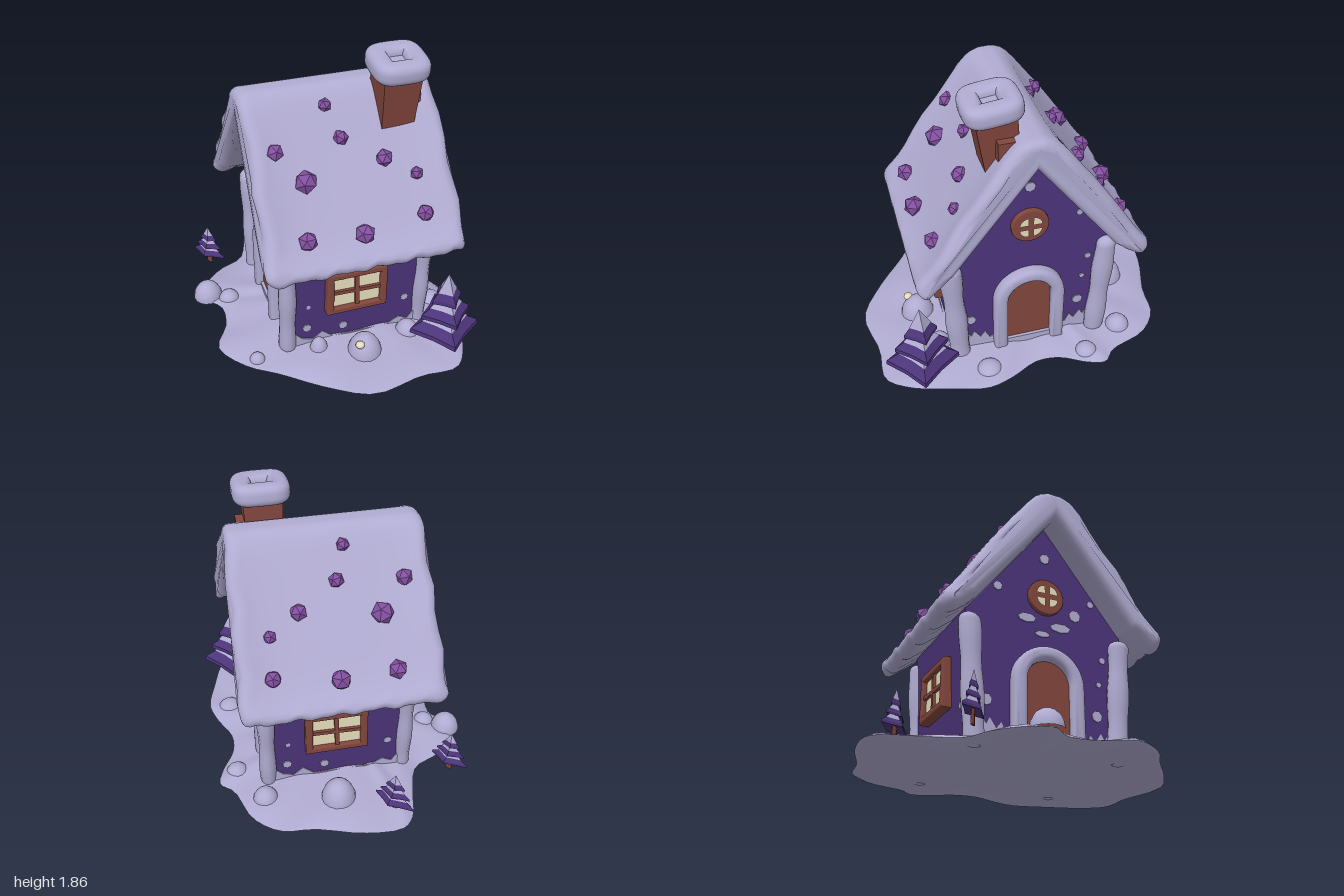
import * as THREE from 'three';
import { mergeVertices, toCreasedNormals } from 'three/addons/utils/BufferGeometryUtils.js';

const mat = (name, color) => Object.assign(new THREE.MeshStandardMaterial({ color }), { name });
const snow = mat('snow', 0xb0abd1);
const wall = mat('purpleWall', 0x4c347a);
const wood = mat('wood', 0x82463d);
const glass = mat('windowGlow', 0xf8efca);
const gem = mat('gem', 0x8450a2);

const CX = 0.07;          // house centre along x
const WALL_X = 0.42;      // half length of the walls
const WALL_Z = 0.47;      // half depth of the walls

function add(parent, name, geo, material, x = 0, y = 0, z = 0) {
  const m = new THREE.Mesh(geo, material);
  m.name = name;
  m.position.set(x, y, z);
  parent.add(m);
  return m;
}

// Move every vertex by a rule
function bend(geo, rule) {
  const p = geo.attributes.position, v = new THREE.Vector3();
  for (let i = 0; i < p.count; i++) {
    rule(v.fromBufferAttribute(p, i));
    p.setXYZ(i, v.x, v.y, v.z);
  }
  return geo;
}

// Bend, then weld and smooth
function soften(geo, rule) {
  bend(geo, rule);
  geo.deleteAttribute('normal');
  geo.deleteAttribute('uv');
  const g = mergeVertices(geo, 1e-4);
  g.computeVertexNormals();
  return g;
}

const polygon = pts => new THREE.Shape(pts.map(([x, y]) => new THREE.Vector2(x, y)));
const rect = (w, h) => polygon([[-w, -h], [w, -h], [w, h], [-w, h]]);

function roundedSquare(r) {
  const soft = t => Math.sign(t) * Math.abs(t) ** 0.6 * r;
  return polygon(Array.from({ length: 40 }, (_, i) => {
    const a = i / 40 * Math.PI * 2;
    return [soft(Math.cos(a)), soft(Math.sin(a))];
  }));
}

function arch(r, bottom, spring, rise) {
  const s = new THREE.Shape();
  s.moveTo(-r, bottom);
  s.lineTo(r, bottom);
  s.lineTo(r, spring);
  s.absellipse(0, spring, r, rise, 0, Math.PI, false);
  s.closePath();
  return s;
}

function archBand(r, inner, bottom, spring) {
  const s = new THREE.Shape();
  s.moveTo(inner, bottom);
  s.lineTo(r, bottom);
  s.lineTo(r, spring);
  s.absarc(0, spring, r, 0, Math.PI, false);
  s.lineTo(-r, bottom);
  s.lineTo(-inner, bottom);
  s.lineTo(-inner, spring);
  s.absarc(0, spring, inner, Math.PI, 0, true);
  s.closePath();
  return s;
}

const extrude = (shape, depth, bevel = 0, extra = {}) => new THREE.ExtrudeGeometry(shape, {
  depth, bevelEnabled: bevel > 0, bevelSize: bevel, bevelThickness: bevel,
  bevelOffset: -bevel, bevelSegments: 3, curveSegments: 14, ...extra });

function spots(parent, list) {
  list.forEach(([x, y, rx, ry = rx]) => {
    const m = add(parent, 'snowSpot', new THREE.CylinderGeometry(1, 1, 0.008, 7), snow, x, y, 0.003);
    m.rotation.x = Math.PI / 2;
    m.scale.set(rx, 1, ry);
  });
}

// Gable details, built facing +z
function gableDetails(patches) {
  const g = new THREE.Group();
  g.name = 'gableDetails';
  add(g, 'doorSnowArch', toCreasedNormals(extrude(archBand(0.225, 0.14, 0.03, 0.42), 0.04, 0.03), 0.9), snow);
  add(g, 'door', extrude(arch(0.155, 0.08, 0.42, 0.15), 0.03), wood, 0, 0, -0.01);
  add(g, 'doorStep', new THREE.BoxGeometry(0.3, 0.06, 0.08), snow, 0, 0.055, 0);
  const ring = new THREE.Shape().absarc(0, 0, 0.115, 0, Math.PI * 2);
  add(g, 'roundWindowFrame', extrude(ring, 0.02, 0.008), wood, 0, 0.98, 0);
  for (let i = 0; i < 4; i++) {
    const a = i * Math.PI / 2, c = a + Math.PI / 4;
    add(g, 'roundWindowPane', new THREE.CircleGeometry(0.055, 8, a, Math.PI / 2), glass,
      Math.cos(c) * 0.02, 0.98 + Math.sin(c) * 0.02, 0.0385);
  }
  spots(g, [[0, 1.25, 0.034], [-0.31, 1, 0.03], [0.31, 1, 0.022], [0.38, 0.64, 0.022],
    [0.33, 0.28, 0.035], [-0.37, 0.28, 0.035], [0.35, 0.48, 0.018], ...patches]);
  for (const s of [-1, 1]) {
    const bank = polygon([[0.2, 0.02], [0.44, 0.02], [0.44, 0.22], [0.37, 0.14], [0.35, 0.18],
      [0.31, 0.12], [0.28, 0.16], [0.25, 0.1], [0.2, 0.12]].map(([x, y]) => [x * s, y]));
    add(g, 'snowDrift', extrude(bank, 0.006), snow);
  }
  return g;
}

// Long side details, built facing +z
function sideDetails() {
  const g = new THREE.Group();
  g.name = 'sideDetails';
  const frame = rect(0.195, 0.155);
  frame.holes.push(rect(0.15, 0.11));
  add(g, 'windowFrame', extrude(frame, 0.055, 0.012), wood, -0.01, 0.445, 0);
  add(g, 'windowPanes', new THREE.BoxGeometry(0.33, 0.25, 0.008), glass, -0.01, 0.445, 0.035);
  const bar = add(g, 'windowBar', new THREE.BoxGeometry(0.026, 0.26, 0.025), wood, -0.01, 0.445, 0.045);
  bar.rotation.z = 0.03;
  const cross = add(g, 'windowCrossbar', new THREE.BoxGeometry(0.33, 0.024, 0.025), wood, -0.01, 0.445, 0.045);
  cross.rotation.z = -0.03;
  spots(g, [[0.32, 0.65, 0.03, 0.022], [0.31, 0.51, 0.022], [-0.31, 0.34, 0.015], [-0.32, 0.17, 0.03],
    [0.33, 0.26, 0.024], [-0.28, 0.62, 0.018], [-0.08, 0.13, 0.03]]);
  const bank = polygon([[-0.42, 0.02], [0.42, 0.02], [0.42, 0.15], [0.36, 0.07], [0.3, 0.1], [0.22, 0.06],
    [-0.15, 0.06], [-0.22, 0.12], [-0.28, 0.07], [-0.35, 0.09], [-0.42, 0.16]]);
  add(g, 'snowDrift', extrude(bank, 0.006), snow);
  return g;
}

// Fir with four-pointed tiers and snow on each tier
function tree(name, x, z, r, h, base, flat) {
  const g = new THREE.Group();
  g.name = name;
  const star = pts => toCreasedNormals(bend(
    new THREE.LatheGeometry(pts.map(p => new THREE.Vector2(...p)), 8), v => {
      if (Math.abs(v.x * v.z) > 1e-6) { v.x *= 0.66; v.z *= 0.66; }
    }), 0.3);
  add(g, 'trunk', new THREE.CylinderGeometry(r * 0.13, r * 0.17, base + 0.1, 6), wood, 0, base / 2 + 0.06, 0);
  [[1, 0, 0.5], [0.74, 0.28, 0.44], [0.46, 0.55, 0.45]].forEach(([s, y0, th], i) => {
    const R = r * s, H = (h - base) * th, Y = base + (h - base) * y0;
    const tier = new THREE.Group();
    tier.name = 'tier';
    tier.position.y = Y;
    add(tier, 'branches', star([[0, H * 0.15], [R, 0], [R * 0.98, H * 0.14], [R * 0.5, H * 0.46], [0, H]]), wall);
    add(tier, 'branchSnow', star([[R * 0.5, H * 0.44], [R * 0.66, H * 0.38], [R * 0.52, H * 0.51], [0, H * 1.05]]), snow);
    tier.rotation.y = (i - 1) * 0.12;
    g.add(tier);
  });
  g.position.set(x, 0, z);
  if (flat) {
    g.scale.z = flat;
    g.rotation.y = -Math.PI / 4;
  }
  return g;
}

// Snowy ground slab lofted from a closed outline
function ground() {
  const edge = [[-.24, -1], [0, -.99], [.29, -.9], [.5, -.87], [.65, -.74], [.74, -.5], [.82, -.42], [.79, -.3],
    [.71, -.15], [.7, 0], [.78, .18], [.82, .34], [.77, .55], [.69, .8], [.58, .94], [.34, .94], [.02, .99],
    [-.24, .85], [-.48, .66], [-.66, .53], [-.79, .32], [-.7, .13], [-.69, -.05], [-.8, -.18], [-.76, -.3],
    [-.61, -.45], [-.45, -.53], [-.37, -.74], [-.32, -.92]];
  const loop = new THREE.CatmullRomCurve3(edge.map(([x, z]) => new THREE.Vector3(x, 0, z)), true).getPoints(90).slice(0, 90);
  const rings = [[0, 0], [0.97, 0], [1, 0.012], [0.97, 0.025], [0.8, 0.035], [0.6, 0.055], [0, 0.06]];
  const pos = [], idx = [], n = loop.length;
  rings.forEach(([s, y], k) => loop.forEach((p, i) =>
    pos.push(p.x * s, y + (k > 2 && k < 6 ? 0.007 * Math.sin(i * 0.9 + k) : 0), p.z * s)));
  for (let k = 0; k < rings.length - 1; k++) for (let i = 0; i < n; i++) {
    const j = (i + 1) % n, a = k * n + i, b = k * n + j;
    idx.push(a, a + n, b, b, a + n, b + n);
  }
  const g = new THREE.BufferGeometry();
  g.setAttribute('position', new THREE.Float32BufferAttribute(pos, 3));
  g.setIndex(idx);
  return toCreasedNormals(g, 0.9);
}

export function createModel() {
  const root = new THREE.Group();
  root.name = 'snowyCottage';
  add(root, 'ground', ground(), snow);

  // Walls and gables
  const body = polygon([[-WALL_Z, 0.02], [WALL_Z, 0.02], [WALL_Z + 0.04, 0.82], [0, 1.5], [-WALL_Z - 0.04, 0.82]]);
  const walls = add(root, 'walls', extrude(body, WALL_X * 2), wall, CX - WALL_X, 0, 0);
  walls.rotation.y = Math.PI / 2;

  for (const s of [-1, 1]) {
    const gable = gableDetails(s < 0 ? [[0.1, 0.8, 0.07, 0.03], [-0.12, 0.83, 0.06, 0.03], [0.2, 0.9, 0.04], [-0.02, 0.74, 0.05, 0.02]] : []);
    gable.position.x = CX + s * WALL_X;
    gable.rotation.y = s * Math.PI / 2;
    const side = sideDetails();
    side.position.set(CX, 0, s * (WALL_Z + 0.01));
    if (s < 0) side.rotation.y = Math.PI;
    root.add(gable, side);
    // Snow-covered corner posts leaning outwards, rounded off under the eaves
    for (const t of [-1, 1]) {
      const post = soften(new THREE.CapsuleGeometry(0.055, 0.68, 6, 12, 14), v => {
        const k = 1 + 0.07 * Math.sin(v.y * 17 + s + t * 2);
        v.x *= k * 0.95;
        v.z = v.z * k * 1.2 + t * 0.06 * v.y;
      });
      add(root, 'cornerSnow', post, snow, CX + s * 0.44, 0.385, t * 0.467);
    }
  }

  // Thick snow roof with rolled edges and slightly sunken slopes
  const profile = new THREE.Shape();
  profile.moveTo(-0.49, 0.83);
  profile.splineThru([[-.58, .76], [-.65, .71], [-.7, .735], [-.705, .8], [-.62, .91], [-.43, 1.2], [-.17, 1.55], [-.07, 1.63],
    [0, 1.64], [.07, 1.63], [.17, 1.55], [.43, 1.2], [.62, .91], [.705, .8], [.7, .735], [.65, .71], [.58, .76],
    [.49, .83]].map(p => new THREE.Vector2(...p)));
  profile.lineTo(0, 1.46);
  profile.closePath();
  const roofGeo = extrude(profile, 1.08, 0.06, { bevelSize: 0.05, bevelOffset: -0.05, steps: 36, curveSegments: 3, bevelSegments: 4 });
  roofGeo.translate(0, 0, -0.54).rotateY(Math.PI / 2);
  add(root, 'roofSnow', soften(roofGeo, v => {
    const { x, y, z } = v;
    v.x *= 1 + (1.2 - y) * 0.06;
    v.x += 0.025 * z;
    if (Math.abs(x) > 0.5) v.x += 0.012 * Math.sin(y * 19 + z * 3);
    if (y < 0.8) v.y += 0.008 * Math.sin(x * 27) + 0.006 * Math.sin(x * 51);
    else if (y > 1.56 - 1.286 * Math.abs(z)) {
      const span = Math.max(0, 1 - (x / 0.54) ** 4);
      const slope = Math.sin(Math.PI * THREE.MathUtils.clamp((y - 0.78) / 0.85, 0, 1));
      const sag = 0.038 * span * Math.sqrt(Math.max(0, slope));
      v.y -= sag * 0.57;
      v.z -= Math.sign(z) * sag * 0.82;
    }
  }), snow, 0.065, 0, 0);

  // Gems on both slopes: x, y, z, radius
  [[-.03, 1.54, .145, .044], [-.37, 1.36, .28, .056], [.03, 1.38, .265, .048], [-.22, 1.2, .39, .072], [.27, 1.25, .355, .055],
    [.45, 1.155, .43, .042], [-.27, .93, .59, .06], [.07, .92, .605, .064], [.46, .96, .57, .054]].forEach(([x, y, z, r], i) => {
    for (const s of [-1, 1]) {
      const m = add(root, 'gem', new THREE.IcosahedronGeometry(r), gem, x, y, z * s);
      m.rotation.set(i, i * 1.7 + s, i * 0.6);
    }
  });

  // Leaning chimney with a snow cap
  const chimney = new THREE.Group();
  chimney.name = 'chimney';
  const stack = new THREE.CylinderGeometry(0.168, 0.135, 0.5, 4).rotateY(Math.PI / 4);
  add(chimney, 'stack', toCreasedNormals(stack, 0.5), wood, 0, -0.26, 0);
  const cap = roundedSquare(0.172);
  cap.holes.push(rect(0.045, 0.045));
  const capGeo = extrude(cap, 0.03, 0.05, { bevelSegments: 6 }).rotateX(-Math.PI / 2).translate(0, -0.015, 0);
  add(chimney, 'capSnow', toCreasedNormals(capGeo, 0.9), snow);
  add(chimney, 'flueSnow', new THREE.BoxGeometry(0.16, 0.02, 0.16), snow, 0, 0.005, 0);
  chimney.position.set(0.39, 1.772, 0.2);
  chimney.rotation.x = 0.12;
  root.add(chimney);
  add(root, 'chimneyFoot', new THREE.BoxGeometry(0.1, 0.16, 0.1), wood, 0.5, 1.53, 0.15);

  // Snow mounds: x, z, radius, height
  [[.08, .64, .11, .16], [.1, -.69, .11, .17], [-.75, -.2, .095, .125], [.4, .56, .08, .12], [-.19, .54, .06, .12],
    [-.58, .5, .05, .065], [-.62, -.12, .07, .08], [.7, -.33, .07, .07], [.68, .3, .08, .07], [.55, -.6, .08, .1]].forEach(([x, z, r, h]) => {
    const m = add(root, 'snowMound', new THREE.SphereGeometry(1, 16, 8, 0, Math.PI * 2, 0, Math.PI / 2), snow, x, 0.01, z);
    m.scale.set(r, h - 0.01, r);
  });
  const glow = add(root, 'glowPatch', new THREE.SphereGeometry(0.03, 8, 6), glass, 0.03, 0.135, 0.69);
  glow.scale.y = 0.7;

  root.add(tree('frontTree', 0.59, 0.7, 0.225, 0.555, 0.13));
  root.add(tree('backTree', -0.22, -0.84, 0.14, 0.305, 0.08, 0.4));
  root.add(tree('sideTree', -0.66, -0.57, 0.13, 0.305, 0.08, 0.4));
  return root;
}
